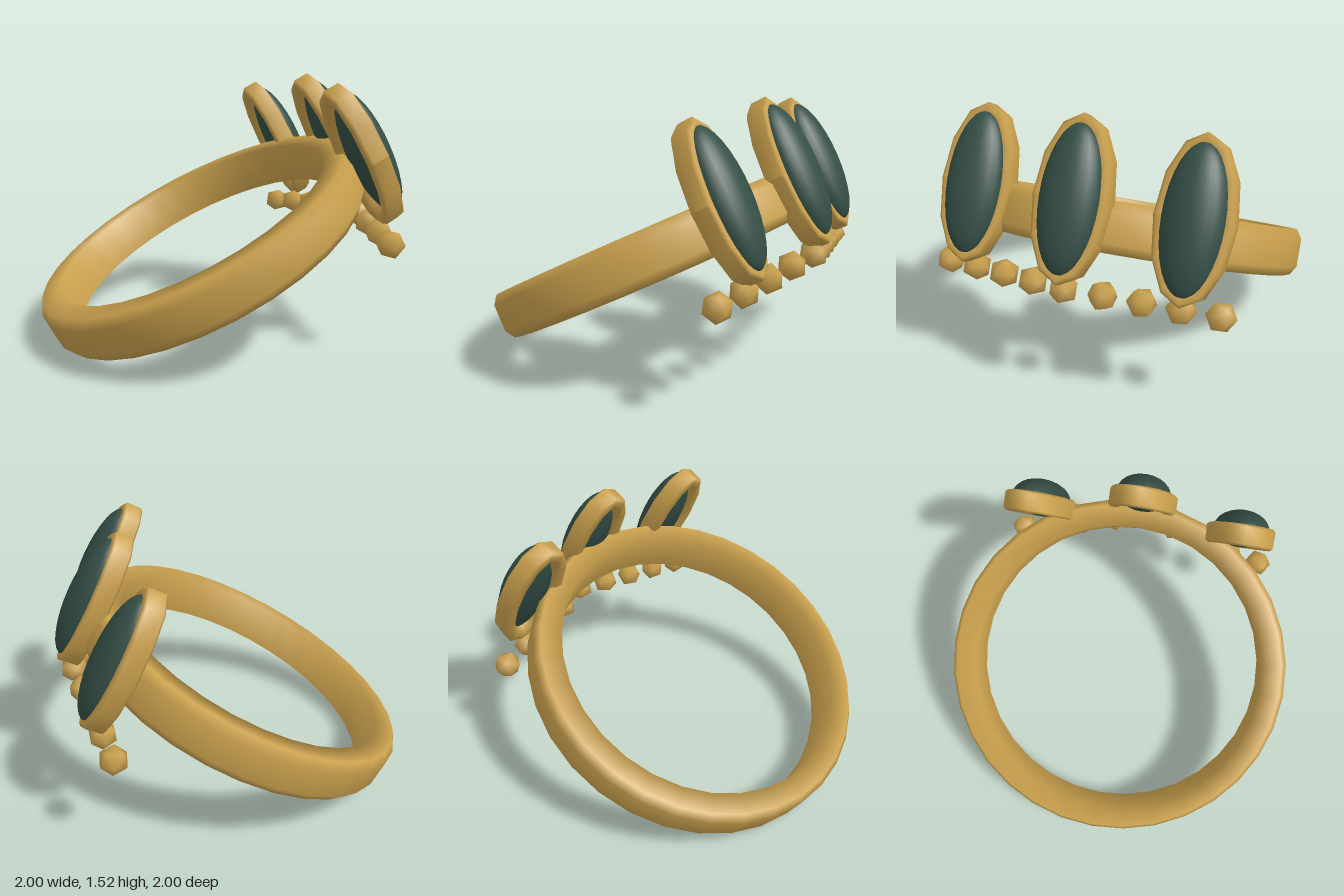
import * as THREE from 'three';

const gold = new THREE.MeshStandardMaterial({ color: 0xc9a04d });
gold.name = 'gold';
const green = new THREE.MeshStandardMaterial({ color: 0x344e46 });
green.name = 'dark green stone';

const points = (list) => list.map(([x, y]) => new THREE.Vector2(x, y));

function addMesh(parent, name, geometry, material, x = 0, y = 0, z = 0) {
  const mesh = new THREE.Mesh(geometry, material);
  mesh.name = name;
  mesh.position.set(x, y, z);
  parent.add(mesh);
  return mesh;
}

// Band: flat inside with a crisp lower edge, bevelled outside
function bandGeometry() {
  return new THREE.LatheGeometry(points([
    [0.85, -0.126], [0.968, -0.13], [1, -0.08],
    [1, 0.08], [0.968, 0.129], [0.85, 0.125], [0.85, -0.126],
  ]), 32);
}

// Oval bezel: a thick circular ring reshaped to an oval with an even rim width
function bezelGeometry(halfLength, halfWidth) {
  const g = new THREE.LatheGeometry(points([
    [0.945, 0], [0.96, -0.038], [0.985, -0.056], [1.025, -0.058], [1.043, -0.045],
    [1.043, 0.045], [1.025, 0.058], [0.985, 0.056], [0.96, 0.038], [0.945, 0],
  ]), 12);
  const p = g.attributes.position;
  for (let i = 0; i < p.count; i++) {
    const x = p.getX(i), z = p.getZ(i);
    const r = Math.hypot(x, z), rim = r - 1;
    p.setX(i, (x / r) * (halfLength + rim));
    p.setZ(i, (z / r) * (halfWidth + rim));
  }
  g.rotateZ(-Math.PI / 2);
  g.computeVertexNormals();
  return g;
}

// Bead: coarse ball with smooth shading
function beadGeometry(radius) {
  const g = new THREE.IcosahedronGeometry(radius, 0);
  const p = g.attributes.position;
  for (let i = 0; i < p.count; i++) {
    g.attributes.normal.setXYZ(i, p.getX(i) / radius, p.getY(i) / radius, p.getZ(i) / radius);
  }
  return g;
}

export function createModel() {
  const model = new THREE.Group();
  model.name = 'ring';

  // Everything is built upright, then tilted together
  const tilted = new THREE.Group();
  tilted.name = 'tiltedRing';
  tilted.position.set(-0.085, 0.574, 0);
  tilted.rotation.z = THREE.MathUtils.degToRad(28);
  model.add(tilted);

  addMesh(tilted, 'band', bandGeometry(), gold);

  // Three oval stones, all facing the same way
  const bezel = bezelGeometry(0.374, 0.155);
  const stone = new THREE.SphereGeometry(1, 24, 16);
  stone.scale(0.106, 0.37, 0.156);
  for (const [x, z] of [[0.887, -0.583], [1.0, 0], [0.887, 0.583]]) {
    const setting = new THREE.Group();
    setting.name = 'stoneSetting';
    setting.position.set(x, 0.1, z);
    tilted.add(setting);
    addMesh(setting, 'bezel', bezel, gold);
    addMesh(setting, 'stone', stone, green, 0.045);
  }

  // Row of beads below the stones
  const bead = beadGeometry(0.08);
  for (let i = -4; i <= 4; i++) {
    const mesh = addMesh(tilted, 'bead', bead, gold,
      0.94 - 0.0465 * Math.abs(i), -0.34, 0.189 * i);
    mesh.rotation.y = i * 0.25;
  }

  return model;
}
